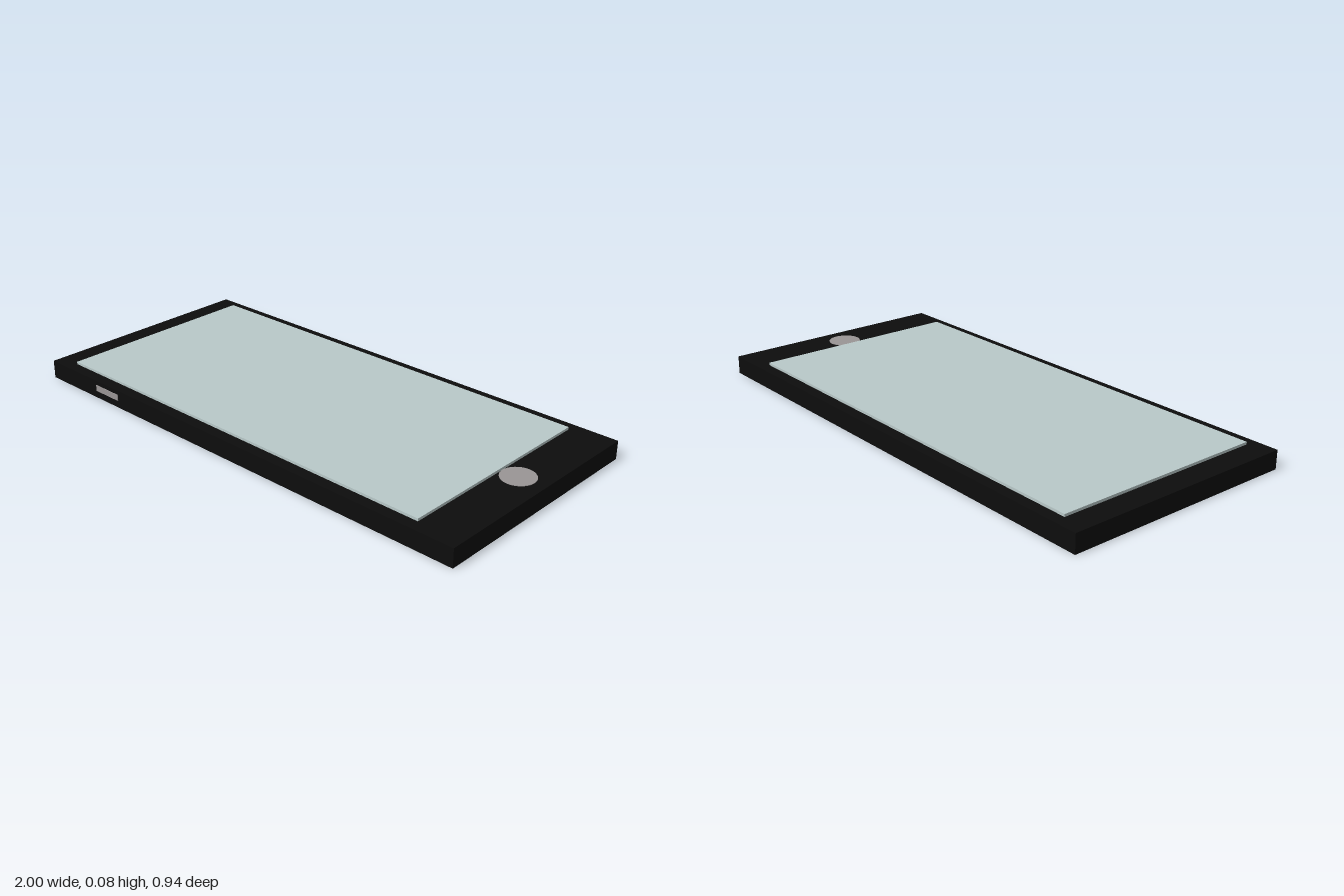
import * as THREE from 'three';

export function createModel() {
  const model = new THREE.Group();

  const add = (name, geometry, color, x, y, z) => {
    const mesh = new THREE.Mesh(geometry, new THREE.MeshStandardMaterial({ color }));
    mesh.name = name;
    mesh.position.set(x, y, z);
    model.add(mesh);
    return mesh;
  };

  // Flat slab lying on its back
  add('body', new THREE.BoxGeometry(2, 0.072, 0.938), 0x0d0d0d, 0, 0.036, 0);

  // Raised display, set off-centre to leave room for the home button
  add('screen', new THREE.BoxGeometry(1.732, 0.02, 0.848), 0xb9c9c9, -0.039, 0.072, 0);

  // Round button, almost flush with the top face
  add('homeButton', new THREE.CylinderGeometry(0.064, 0.064, 0.02, 48), 0x9a9696, 0.892, 0.064, -0.02);

  // Thin key on the long front edge
  add('sideButton', new THREE.BoxGeometry(0.13, 0.024, 0.02), 0x9a9696, -0.658, 0.042, 0.462);

  return model;
}
